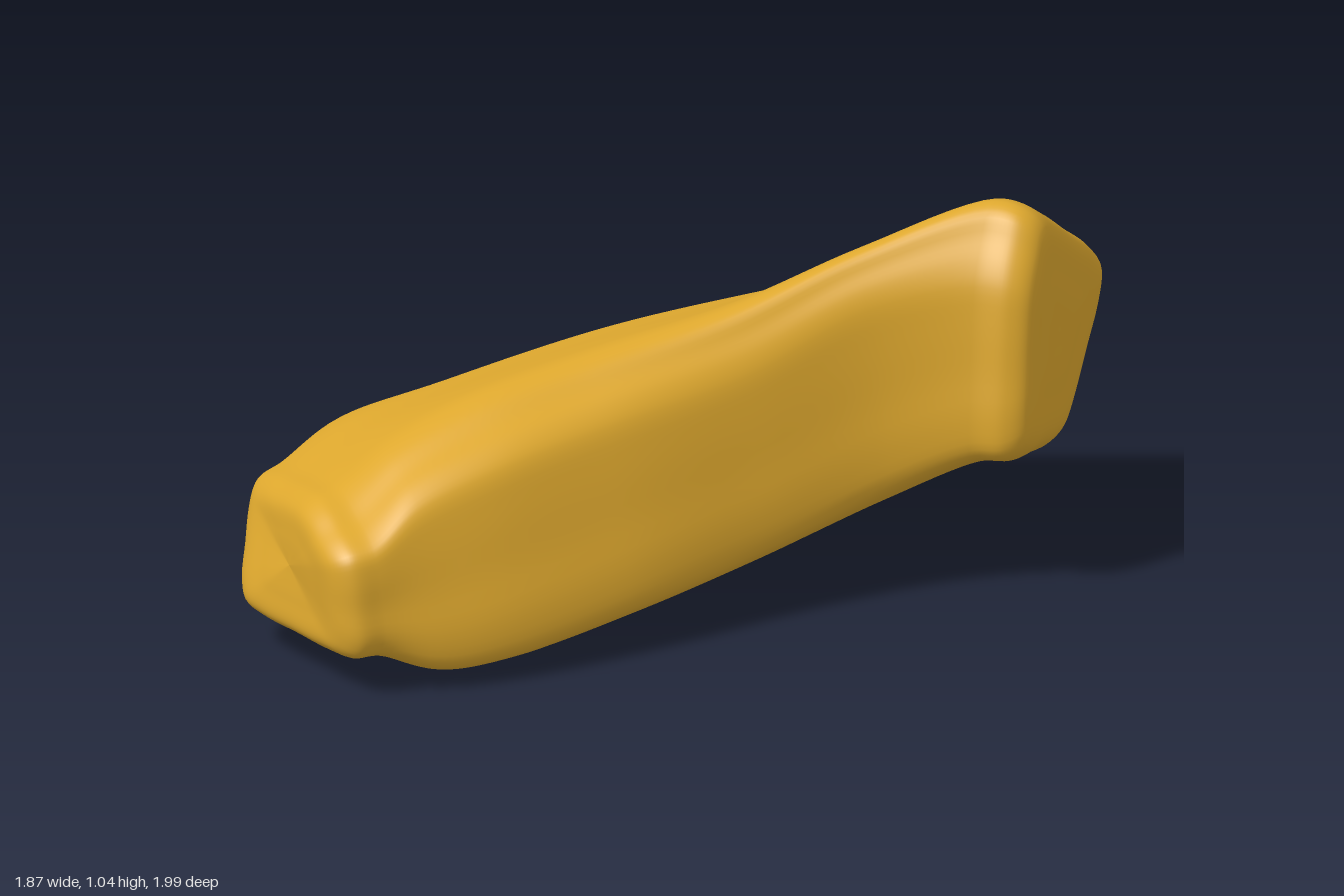
import * as THREE from 'three';

const V = (x, y, z) => new THREE.Vector3(x, y, z);

// Five corners per cross-section: front shoulder, top, back edge, keel, lower front
const SECTIONS = [
  [V(0.78, 0.85, -0.30), V(0.78, 1.045, -0.43), V(0.78, 0.70, -1.03), V(0.78, 0.31, -0.64), V(0.78, 0.38, -0.25)],
  [V(0.53, 0.80, -0.18), V(0.47, 0.93, -0.25), V(0.45, 0.62, -0.98), V(0.50, 0.19, -0.55), V(0.57, 0.29, -0.155)],
  [V(0.28, 0.67, 0.06), V(0.20, 0.815, -0.02), V(0.12, 0.57, -0.89), V(0.15, 0.06, -0.30), V(0.34, 0.19, 0.09)],
  [V(0.01, 0.61, 0.38), V(-0.10, 0.735, 0.23), V(-0.26, 0.55, -0.52), V(-0.15, 0.00, 0.00), V(0.10, 0.12, 0.45)],
  [V(-0.20, 0.56, 0.65), V(-0.34, 0.67, 0.47), V(-0.61, 0.50, -0.08), V(-0.50, 0.00, 0.28), V(-0.12, 0.06, 0.72)],
  [V(-0.36, 0.49, 0.83), V(-0.50, 0.585, 0.64), V(-0.82, 0.455, 0.13), V(-0.72, 0.035, 0.46), V(-0.27, 0.05, 0.85)],
  [V(-0.44, 0.40, 0.94), V(-0.60, 0.49, 0.75), V(-0.90, 0.40, 0.36), V(-0.87, 0.10, 0.56), V(-0.41, 0.10, 0.93)],
];
const RING = 80, STEPS = 8;

// Smooth closed ring with softened corners
function ringFrom(corners) {
  const n = corners.length, centre = V(0, 0, 0);
  corners.forEach((c) => centre.addScaledVector(c, 1 / n));
  const big = corners.map((c) => c.clone().sub(centre).multiplyScalar(1.04).add(centre));
  const pts = [];
  big.forEach((p, k) => {
    const prev = big[(k + n - 1) % n], next = big[(k + 1) % n];
    const a = p.clone().lerp(prev, 0.22), b = p.clone().lerp(next, 0.22);
    pts.push(a, a.clone().lerp(b, 0.5).lerp(p, 0.55), b, p.clone().lerp(next, 0.5));
  });
  const curve = new THREE.CatmullRomCurve3(pts, true);
  const ring = [];
  for (let j = 0; j < RING; j++) ring.push(curve.getPoint(j / RING));
  return { ring, centre };
}

// Rounded end: shrinking copies of the last ring, pushed outwards
function capRings({ ring, centre }, push, scales) {
  const depth = [0.6, 0.92, 1, 1.01];
  return scales.map((s, i) => ring.map((p) =>
    p.clone().sub(centre).multiplyScalar(s).add(centre).addScaledVector(push, depth[i])));
}

// Skin the rings along smooth rails
function bodyGeometry() {
  const base = SECTIONS.map(ringFrom);
  const rings = [
    ...capRings(base[0], V(0.153, 0, 0), [0.96, 0.83, 0.45, 0]).reverse(),
    ...base.map((b) => b.ring),
    ...capRings(base[base.length - 1], V(-0.075, -0.015, 0.1), [0.94, 0.78, 0.42, 0]),
  ];
  const rows = (rings.length - 1) * STEPS;
  const pos = new Float32Array((rows + 1) * RING * 3);
  for (let j = 0; j < RING; j++) {
    const rail = new THREE.CatmullRomCurve3(rings.map((r) => r[j]));
    for (let i = 0; i <= rows; i++) rail.getPoint(i / rows).toArray(pos, (i * RING + j) * 3);
  }
  const index = [];
  for (let i = 0; i < rows; i++) {
    for (let j = 0; j < RING; j++) {
      const n = (j + 1) % RING;
      const a = i * RING + j, b = i * RING + n, c = a + RING, d = b + RING;
      index.push(a, b, c, b, d, c);
    }
  }
  const geo = new THREE.BufferGeometry();
  geo.setAttribute('position', new THREE.BufferAttribute(pos, 3));
  geo.setIndex(index);
  geo.computeBoundingBox();
  geo.translate(0, -geo.boundingBox.min.y, 0);
  geo.computeVertexNormals();
  return geo;
}

export function createModel() {
  const gold = new THREE.MeshStandardMaterial({ color: 0xdea82e });
  gold.name = 'gold';
  const body = new THREE.Mesh(bodyGeometry(), gold);
  body.name = 'nuggetBody';
  const group = new THREE.Group();
  group.name = 'nugget';
  group.add(body);
  return group;
}
